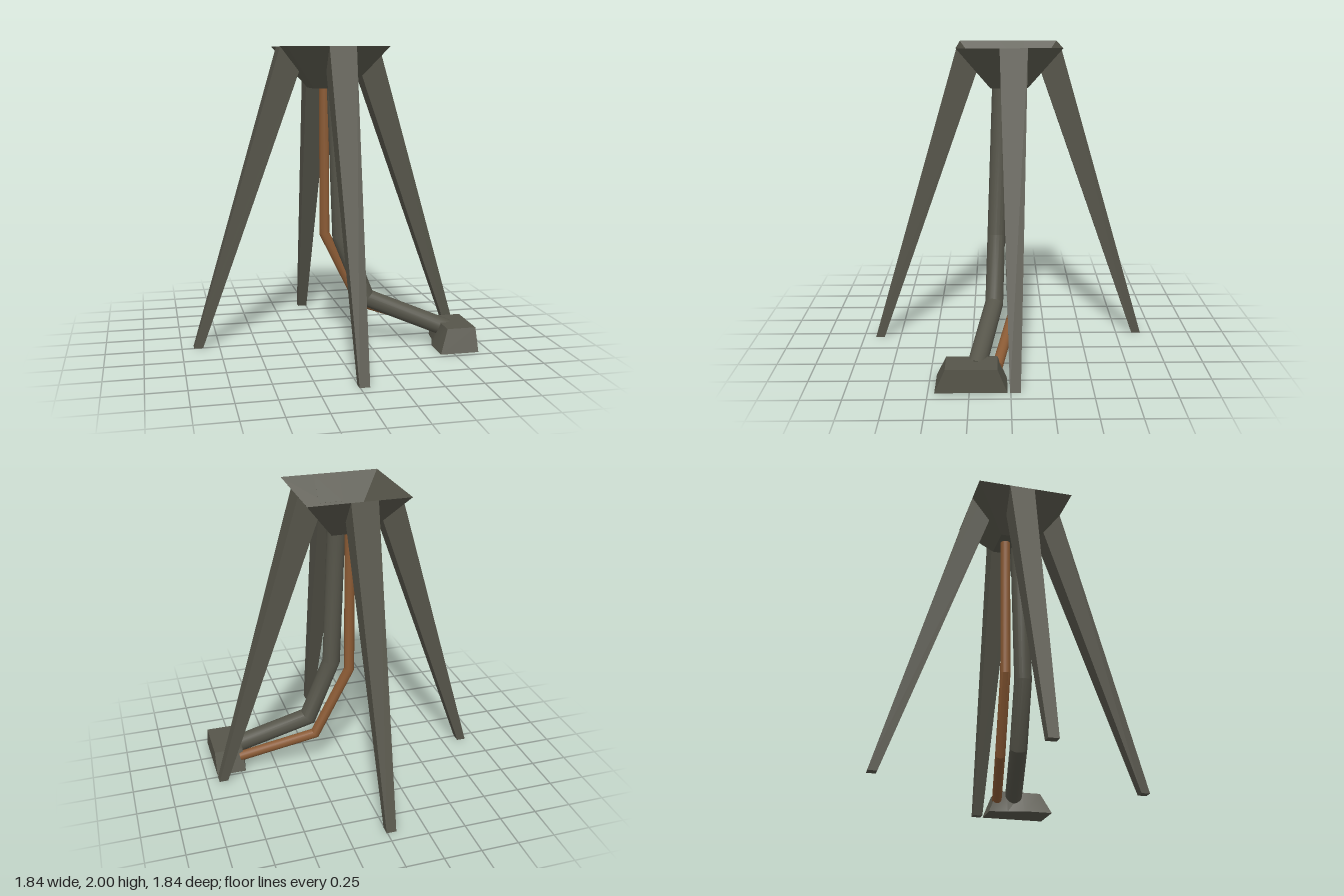
import * as THREE from 'three';
import { toCreasedNormals } from 'three/addons/utils/BufferGeometryUtils.js';

// Skin a series of equal-length point loops (counter-clockwise about the travel direction)
function loft(loops, endCap = true) {
  const n = loops[0].length, last = (loops.length - 1) * n, index = [];
  for (let k = 0; k < loops.length - 1; k++) {
    for (let i = 0; i < n; i++) {
      const a = k * n + i, b = k * n + (i + 1) % n;
      index.push(a, b, b + n, a, b + n, a + n);
    }
  }
  for (let i = 1; i < n - 1; i++) {
    index.push(0, i + 1, i);
    if (endCap) index.push(last, last + i, last + i + 1);
  }
  const geo = new THREE.BufferGeometry();
  geo.setAttribute('position', new THREE.Float32BufferAttribute(loops.flat(2), 3));
  geo.setIndex(index);
  return toCreasedNormals(geo, 0.4);
}

// Round pipe with mitred bends along a polyline
function pipe(points, radius, sides = 18) {
  const p = points.map((q) => new THREE.Vector3(...q));
  const dirs = p.slice(1).map((q, i) => q.clone().sub(p[i]).normalize());
  const u = new THREE.Vector3(0, 0, 1).cross(dirs[0]).normalize();
  const v = dirs[0].clone().cross(u);
  let ring = [];
  for (let i = 0; i < sides; i++) {
    const a = (i / sides) * Math.PI * 2;
    ring.push(p[0].clone().addScaledVector(u, radius * Math.cos(a)).addScaledVector(v, radius * Math.sin(a)));
  }
  const loops = [ring];
  for (let k = 1; k < p.length; k++) {
    const d = dirs[k - 1];
    const normal = d.clone().add(dirs[k] || d).normalize();
    ring = ring.map((q) => q.clone().addScaledVector(d, p[k].clone().sub(q).dot(normal) / d.dot(normal)));
    loops.push(ring);
  }
  return loft(loops.map((l) => l.map((q) => q.toArray())));
}

// Tapered leg leaning in from the front; side = -1 mirrors its offset
function leg(side) {
  const bottom = [[0.06, 0, 0.92], [0.06, 0, 0.86], [-0.005, 0, 0.86], [-0.005, 0, 0.92]];
  const top = [[0.113, 2, 0.33], [0.108, 1.84, 0.205], [-0.056, 1.84, 0.205], [-0.061, 2, 0.33]];
  const loops = [bottom, top];
  if (side > 0) return loft(loops);
  return loft(loops.map((l) => l.map(([x, y, z]) => [-x, y, z]).reverse()));
}

const square = (h, y) => [[h, y, h], [h, y, -h], [-h, y, -h], [-h, y, h]];

export function createModel() {
  const model = new THREE.Group();
  const metal = new THREE.MeshStandardMaterial({ color: 0x56554a });
  metal.name = 'darkMetal';
  metal.side = THREE.DoubleSide;
  const copper = new THREE.MeshStandardMaterial({ color: 0x8a5a34 });
  copper.name = 'copper';

  const add = (name, geometry, material = metal) => {
    const mesh = new THREE.Mesh(geometry, material);
    mesh.name = name;
    model.add(mesh);
    return mesh;
  };

  // Open hopper with a floor
  add('hopper', loft([square(0.12, 1.73), square(0.33, 2)], false));

  // Four splayed legs
  [['frontLeg', 0, 1], ['leftLeg', 0.5, 1], ['backLeg', 1, 1], ['rightLeg', -0.5, -1]].forEach(([name, turn, side]) => {
    add(name, leg(side)).rotation.y = turn * Math.PI;
  });

  // Thick main pipe and thin copper pipe, both running down to the nozzle
  add('mainPipe', pipe([[0.04, 1.73, 0.05], [0.07, 0.74, 0.085], [0.24, 0.315, 0.1], [0.78, 0.1, 0.21]], 0.06));
  add('copperPipe', pipe([[-0.015, 1.73, -0.065], [-0.015, 0.74, -0.06], [0.225, 0.25, -0.03], [0.74, 0.09, 0.08]], 0.034), copper);

  // Sloped nozzle block on the ground
  add('nozzle', loft([
    [[0.92, 0, 0.46], [0.92, 0, 0.02], [0.72, 0, 0.02], [0.7, 0, 0.15], [0.66, 0, 0.26], [0.66, 0, 0.46]],
    [[0.92, 0.15, 0.395], [0.92, 0.15, 0.08], [0.725, 0.15, 0.08], [0.725, 0.15, 0.15], [0.725, 0.15, 0.26], [0.725, 0.15, 0.395]],
  ]));

  return model;
}
